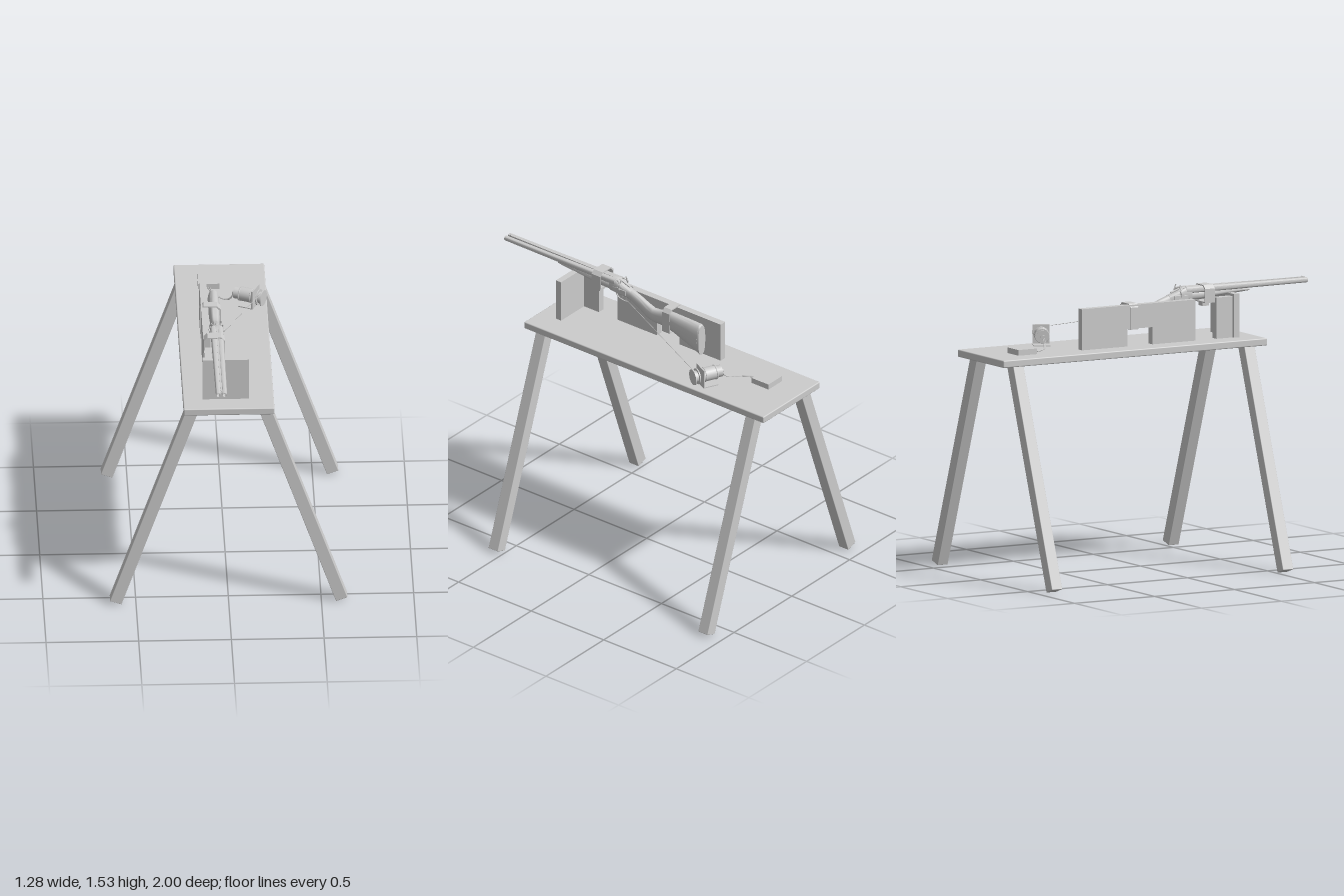
import * as THREE from 'three';
import { RoundedBoxGeometry } from 'three/addons/geometries/RoundedBoxGeometry.js';
import { toCreasedNormals } from 'three/addons/utils/BufferGeometryUtils.js';

const mat = new THREE.MeshStandardMaterial({ color: 0xcccccc, roughness: 0.8 });
const V = (x, y, z) => new THREE.Vector3(x, y, z);

function add(parent, name, geo, x = 0, y = 0, z = 0) {
  const m = new THREE.Mesh(geo, mat);
  m.name = name;
  m.position.set(x, y, z);
  parent.add(m);
  return m;
}

// Box given by its limits on each axis
function box(parent, name, [x0, x1], [y0, y1], [z0, z1]) {
  return add(parent, name, new THREE.BoxGeometry(x1 - x0, y1 - y0, z1 - z0),
    (x0 + x1) / 2, (y0 + y1) / 2, (z0 + z1) / 2);
}

const tube = (pts, r, seg = 32, sides = 8) =>
  new THREE.TubeGeometry(new THREE.CatmullRomCurve3(pts), seg, r, sides);

// Cylinder lying along z
const rod = (r0, r1, len, n = 24) => new THREE.CylinderGeometry(r0, r1, len, n).rotateX(Math.PI / 2);

// Skin over oval sections [z, top, bottom, halfWidth], listed from front to back
function loft(sections, n = 20, power = 0.8) {
  const pos = [], idx = [];
  const bend = v => Math.sign(v) * Math.abs(v) ** power;
  for (const [z, top, bottom, w] of sections) {
    for (let j = 0; j < n; j++) {
      const a = j / n * Math.PI * 2;
      pos.push(w * bend(Math.cos(a)), (top + bottom) / 2 + (top - bottom) / 2 * bend(Math.sin(a)), z);
    }
  }
  const last = sections.length - 1;
  for (let i = 0; i < last; i++) {
    for (let j = 0; j < n; j++) {
      const a = i * n + j, b = i * n + (j + 1) % n;
      idx.push(a, a + n, b, b, a + n, b + n);
    }
  }
  for (const [s, flip] of [[0, false], [last, true]]) {
    const c = pos.length / 3;
    pos.push(0, (sections[s][1] + sections[s][2]) / 2, sections[s][0]);
    for (let j = 0; j < n; j++) {
      const a = s * n + j, b = s * n + (j + 1) % n;
      idx.push(c, flip ? b : a, flip ? a : b);
    }
  }
  const g = new THREE.BufferGeometry();
  g.setAttribute('position', new THREE.Float32BufferAttribute(pos, 3));
  g.setIndex(idx);
  return toCreasedNormals(g, 0.8);
}

// Hollow rectangular band wrapped around something, width along z
function band(x0, x1, y0, y1, width, t = 0.006) {
  const rect = (C, d) => {
    const s = new C();
    s.moveTo(x0 + d, y0 + d);
    s.lineTo(x1 - d, y0 + d);
    s.lineTo(x1 - d, y1 - d - 0.02);
    s.lineTo(x1 - d - 0.02, y1 - d);
    s.lineTo(x0 + d + 0.02, y1 - d);
    s.lineTo(x0 + d, y1 - d - 0.02);
    s.closePath();
    return s;
  };
  const s = rect(THREE.Shape, 0);
  s.holes.push(rect(THREE.Path, t));
  return new THREE.ExtrudeGeometry(s, { depth: width, bevelEnabled: false });
}

function buildTable() {
  const g = new THREE.Group();
  g.name = 'table';
  add(g, 'tableTop', new RoundedBoxGeometry(0.49, 0.04, 1.65, 2, 0.006), 0, 1.206, -0.175);
  const lean = Math.atan2(0.42, 1.185), len = Math.hypot(0.42, 1.185);
  for (const z of [0.548, -0.897]) {
    for (const s of [-1, 1]) {
      const leg = add(g, 'tableLeg', new RoundedBoxGeometry(0.066, len, 0.065, 1, 0.003),
        s * 0.4, 0.0115 + 1.185 / 2, z);
      leg.rotation.z = s * lean;
    }
  }
  return g;
}

function buildRest() {
  const g = new THREE.Group();
  g.name = 'rest';
  box(g, 'frontBoard', [-0.14, 0.11], [1.22, 1.464], [0.502, 0.538]);
  box(g, 'frontPost', [-0.127, -0.088], [1.22, 1.45], [0.4, 0.502]);
  // Side board with a notch in its lower edge
  const s = new THREE.Shape([[-0.27, 1.22], [0, 1.22], [0, 1.32], [0.155, 1.32], [0.155, 1.22],
    [0.44, 1.22], [0.44, 1.45], [-0.27, 1.45]].map(p => new THREE.Vector2(...p)));
  const side = new THREE.ExtrudeGeometry(s, { depth: 0.039, bevelEnabled: false }).rotateY(Math.PI / 2);
  add(g, 'sideBoard', side, -0.127, 0, 0);
  // Straps holding the gun to the boards
  add(g, 'rearStrap', band(-0.133, -0.02, 1.316, 1.456, 0.05), 0, 0, -0.14);
  add(g, 'frontStrap', band(-0.128, -0.014, 1.425, 1.522, 0.06), 0, 0, 0.33);
  box(g, 'strapBuckle', [-0.075, -0.03], [1.402, 1.428], [0.345, 0.385]);
  return g;
}

function buildGun() {
  const g = new THREE.Group();
  g.name = 'gun';
  g.position.x = -0.053;
  // Two open barrels, wider toward the breech
  const profile = [[0.009, 0.7], [0.009, 0.76], [0.014, 0.76], [0.0155, 0.45], [0.0185, 0.15], [0.0195, 0], [0, 0]]
    .map(p => new THREE.Vector2(...p)).reverse();
  profile.push(new THREE.Vector2(0, 0.7));
  const barrel = toCreasedNormals(new THREE.LatheGeometry(profile, 24).rotateX(Math.PI / 2), 0.7);
  for (const s of [-1, 1]) add(g, 'barrel', barrel, s * 0.0165, 1.496, 0.24);
  box(g, 'topRib', [-0.005, 0.005], [1.498, 1.513], [0.24, 0.995]);
  add(g, 'frontBead', new THREE.SphereGeometry(0.004, 10, 8), 0, 1.514, 0.98);
  add(g, 'foreEnd', loft([[0.645, 1.478, 1.464, 0.012], [0.6, 1.485, 1.461, 0.02], [0.45, 1.49, 1.45, 0.028],
    [0.33, 1.49, 1.438, 0.03], [0.25, 1.49, 1.435, 0.03]]));
  add(g, 'receiver', loft([[0.275, 1.513, 1.435, 0.034], [0.235, 1.515, 1.43, 0.035], [0.19, 1.492, 1.426, 0.03],
    [0.14, 1.474, 1.42, 0.022]], 20, 0.6));
  // Wooden stock from the wrist to the butt
  add(g, 'stock', loft([[0.21, 1.488, 1.43, 0.024], [0.14, 1.474, 1.412, 0.023], [0.08, 1.452, 1.378, 0.022],
    [0.03, 1.43, 1.345, 0.022], [-0.01, 1.415, 1.334, 0.023], [-0.05, 1.418, 1.334, 0.025],
    [-0.09, 1.432, 1.334, 0.028], [-0.15, 1.432, 1.32, 0.03], [-0.25, 1.431, 1.282, 0.032],
    [-0.328, 1.429, 1.248, 0.032]], 24));
  add(g, 'buttPlate', loft([[-0.327, 1.428, 1.247, 0.032], [-0.338, 1.422, 1.243, 0.03]], 24));
  add(g, 'triggerGuard', tube([V(0, 1.432, 0.255), V(0, 1.4, 0.24), V(0, 1.388, 0.205),
    V(0, 1.39, 0.17), V(0, 1.412, 0.145), V(0, 1.42, 0.12)], 0.0035));
  for (const z of [0.185, 0.21]) {
    add(g, 'trigger', tube([V(0, 1.432, z + 0.004), V(0, 1.415, z - 0.004), V(0, 1.398, z + 0.004)], 0.003, 10, 6));
  }
  // Hammers and their side plates
  for (const s of [-1, 1]) {
    add(g, 'sidePlate', new RoundedBoxGeometry(0.006, 0.03, 0.09, 2, 0.003), s * 0.033, 1.458, 0.205);
    add(g, 'hammerPivot', new THREE.CylinderGeometry(0.01, 0.01, 0.01, 16).rotateZ(Math.PI / 2), s * 0.037, 1.47, 0.21);
    add(g, 'hammer', tube([V(s * 0.037, 1.47, 0.21), V(s * 0.034, 1.495, 0.2),
      V(s * 0.026, 1.507, 0.212), V(s * 0.02, 1.511, 0.228)], 0.005, 14));
    add(g, 'hammerSpur', tube([V(s * 0.03, 1.5, 0.207), V(s * 0.026, 1.512, 0.2), V(s * 0.024, 1.526, 0.205)], 0.0035, 10, 6));
  }
  const lever = add(g, 'topLever', new RoundedBoxGeometry(0.01, 0.008, 0.07, 2, 0.003), 0, 1.498, 0.19);
  lever.rotation.x = -0.35;
  return g;
}

function buildWinder() {
  const g = new THREE.Group();
  g.name = 'winder';
  g.position.set(0.2, 1.284, -0.507);
  g.rotation.y = 1.12;
  // Motor body with end caps, lying along the local z axis
  add(g, 'motorBody', rod(0.038, 0.038, 0.085), 0, 0, -0.07);
  add(g, 'motorEndCap', rod(0.03, 0.033, 0.03), 0, 0, -0.125);
  add(g, 'motorTerminal', rod(0.011, 0.011, 0.015, 12), 0, 0, -0.146);
  for (const z of [-0.105, -0.04]) add(g, 'motorRing', new THREE.TorusGeometry(0.038, 0.003, 8, 24), 0, 0, z);
  // Angle bracket
  add(g, 'bracketPlate', new THREE.BoxGeometry(0.092, 0.11, 0.007), 0, -0.004, -0.022);
  add(g, 'bracketFoot', new THREE.BoxGeometry(0.092, 0.007, 0.085), 0, -0.056, -0.062);
  // Spool
  add(g, 'spoolShaft', rod(0.006, 0.006, 0.05, 12), 0, 0, 0);
  add(g, 'spoolCore', rod(0.032, 0.032, 0.026), 0, 0, 0.012);
  for (const z of [0, 0.024]) add(g, 'spoolFlange', rod(0.044, 0.044, 0.006, 32), 0, 0, z);
  return g;
}

export function createModel() {
  const model = new THREE.Group();
  model.name = 'gunOnTable';
  model.add(buildTable(), buildRest(), buildGun(), buildWinder());
  box(model, 'controlBox', [-0.122, -0.005], [1.22, 1.257], [-0.835, -0.718]);
  // Twin wires from the control box to the motor
  for (const s of [-1, 1]) {
    const d = s * 0.004;
    add(model, 'wire', tube([V(-0.063 + d, 1.235, -0.72), V(-0.05 + d, 1.23, -0.675), V(-0.015 + d, 1.23, -0.62),
      V(0.025, 1.232, -0.585 + d), V(0.05, 1.25, -0.57 + d), V(0.068, 1.284, -0.567 + d)], 0.003, 32, 6));
  }
  // Pull cord from the spool to the trigger
  add(model, 'pullCord', new THREE.TubeGeometry(
    new THREE.LineCurve3(V(0.21, 1.317, -0.49), V(-0.053, 1.402, 0.19)), 1, 0.0015, 6));
  return model;
}
